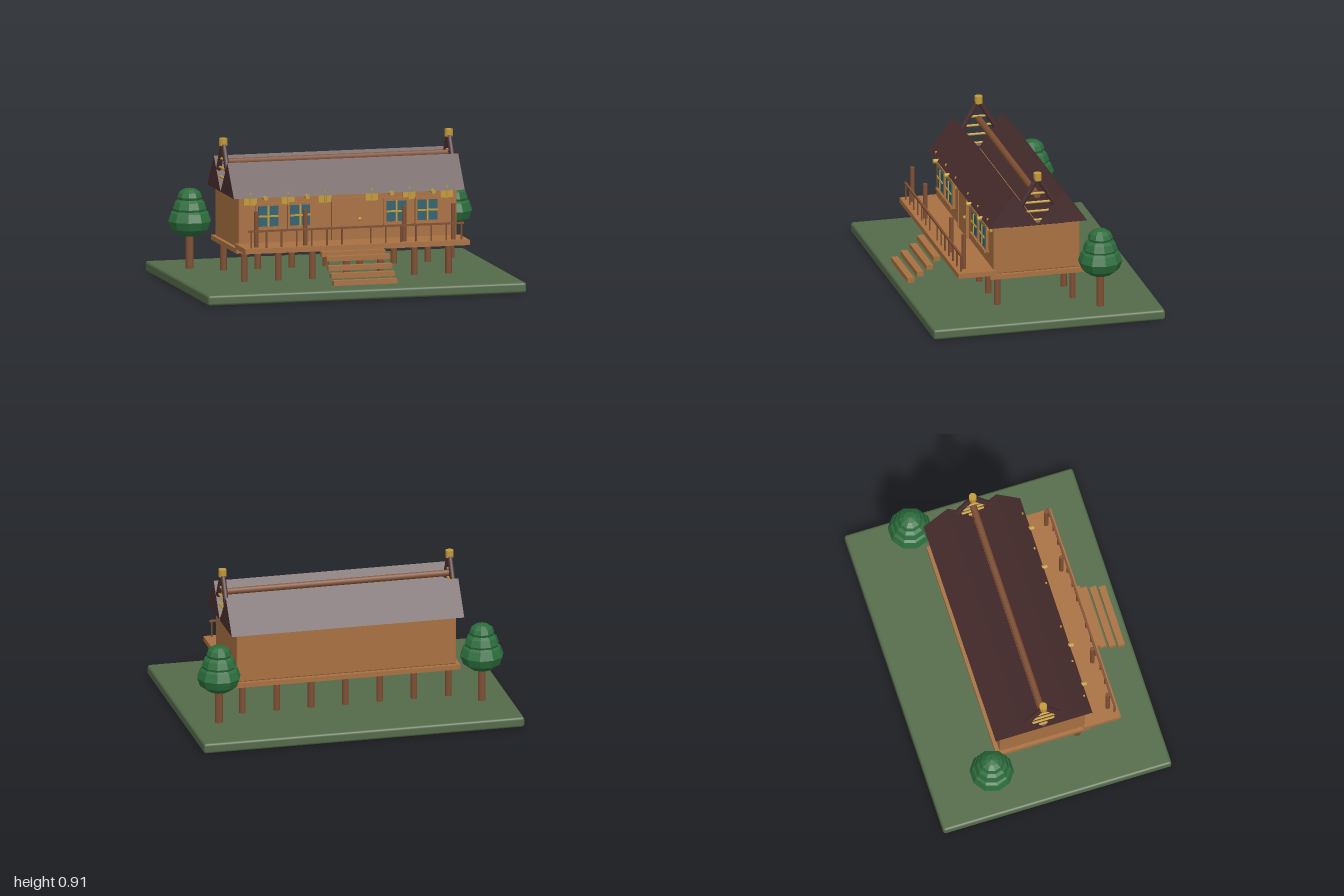
import * as THREE from 'three';
import { RoundedBoxGeometry } from 'three/addons/geometries/RoundedBoxGeometry.js';

const mat = (name, color, flatShading = false) => {
  const m = new THREE.MeshStandardMaterial({ color, flatShading });
  m.name = name;
  return m;
};

export function createModel() {
  const root = new THREE.Group();
  root.name = 'stiltHouse';
  const grass = mat('grass', 0x546a49);
  const wood = mat('wood', 0xa87041);
  const bark = mat('dark wood', 0x7f4f33);
  const roofing = mat('roof', 0x4a2e2f);
  const gold = mat('gold', 0xc29a38);
  const glass = mat('glass', 0x2f6070);
  const leaf = mat('leaves', 0x2c6c3c, true);

  const add = (name, geo, m, x = 0, y = 0, z = 0) => {
    const mesh = new THREE.Mesh(geo, m);
    mesh.name = name;
    mesh.position.set(x, y, z);
    root.add(mesh);
    return mesh;
  };
  // box given by its minimum and maximum in y and z, centred on x
  const slab = (name, m, x, w, y0, y1, z0, z1) =>
    add(name, new THREE.BoxGeometry(w, y1 - y0, z1 - z0), m, x, (y0 + y1) / 2, (z0 + z1) / 2);
  // upright round post
  const post = (name, m, r, x, y0, y1, z, sides = 10) =>
    add(name, new THREE.CylinderGeometry(r, r, y1 - y0, sides), m, x, (y0 + y1) / 2, z);
  // round bar between two points
  const bar = (name, m, r, a, b, sides = 8) => {
    const p = new THREE.Vector3(...a), q = new THREE.Vector3(...b);
    const mesh = add(name, new THREE.CylinderGeometry(r, r, p.distanceTo(q), sides), m);
    mesh.position.copy(p).lerp(q, 0.5);
    mesh.quaternion.setFromUnitVectors(new THREE.Vector3(0, 1, 0), q.sub(p).normalize());
    return mesh;
  };

  // Ground
  add('ground', new RoundedBoxGeometry(2, 0.064, 1.45, 3, 0.016), grass, 0, 0.032, 0);

  // Stilts, floor, porch and house body
  for (let i = -3; i <= 3; i++)
    for (const z of [0.236, -0.236]) post('stilt', bark, 0.02, i * 0.214, 0.05, 0.25, z);
  slab('floor', wood, 0, 1.41, 0.246, 0.275, -0.295, 0.295);
  slab('porch', wood, 0, 1.41, 0.272, 0.303, 0.26, 0.495);
  add('walls', new RoundedBoxGeometry(1.37, 0.312, 0.54, 2, 0.008), wood, 0, 0.43, 0);

  // Steps
  const steps = [[0.1, 0.659], [0.136, 0.601], [0.174, 0.542], [0.225, 0.498], [0.237, 0.384]];
  for (const [y, z] of steps)
    slab('step', wood, 0, 0.4, y - 0.015, y + 0.015, z - 0.021, z + 0.021);

  // Twin gabled roofs with a valley between them
  for (const s of [1, -1]) {
    const gable = new THREE.Shape([
      new THREE.Vector2(s * 0.307, 0.583),
      new THREE.Vector2(s * 0.155, 0.782),
      new THREE.Vector2(0, 0.583),
    ]);
    const geo = new THREE.ExtrudeGeometry(gable, { depth: 1.45, bevelEnabled: false });
    geo.translate(0, 0, -0.725).rotateY(-Math.PI / 2);
    add('roof', geo, roofing);
  }
  bar('ridgeBeam', bark, 0.021, [-0.7, 0.765, 0], [0.7, 0.765, 0]);

  // End trusses with rungs and caps
  for (const x of [-0.708, 0.708]) {
    for (const s of [1, -1])
      bar('trussLeg', roofing, 0.017, [x, 0.588, s * 0.173], [x, 0.887, 0]);
    bar('trussTie', roofing, 0.015, [x, 0.59, -0.178], [x, 0.59, 0.178]);
    for (const y of [0.61, 0.667, 0.724, 0.781]) {
      const h = (0.887 - y) * 0.577;
      bar('trussRung', gold, 0.008, [x, y, -h], [x, y, h]);
    }
    post('trussCap', gold, 0.025, x, 0.865, 0.911, 0);
  }

  // Door
  slab('door', wood, 0, 0.185, 0.303, 0.55, 0.265, 0.283);
  for (const s of [1, -1]) slab('doorJamb', wood, s * 0.098, 0.012, 0.303, 0.56, 0.265, 0.289);
  slab('doorLintel', wood, 0, 0.208, 0.55, 0.562, 0.265, 0.289);
  add('doorKnob', new THREE.SphereGeometry(0.011, 10, 8), gold, 0.07, 0.428, 0.29);

  // Windows
  for (const x of [-0.505, -0.305, 0.3, 0.495]) {
    slab('windowFrame', wood, x, 0.152, 0.383, 0.548, 0.265, 0.288);
    slab('windowGlass', glass, x, 0.125, 0.405, 0.53, 0.286, 0.292);
    slab('windowBarUpright', gold, x, 0.011, 0.405, 0.53, 0.29, 0.298);
    slab('windowBarLevel', gold, x, 0.125, 0.462, 0.473, 0.29, 0.298);
    slab('windowSill', wood, x, 0.158, 0.376, 0.39, 0.265, 0.3);
  }

  // Gold eave ornaments
  for (const x of [-0.615, -0.38, -0.147, 0.147, 0.382, 0.618]) {
    slab('eavePlate', gold, x, 0.08, 0.537, 0.583, 0.27, 0.286);
    post('eavePeg', gold, 0.007, x, 0.535, 0.613, 0.288, 8);
  }
  for (const x of [-0.53, -0.267, 0.262, 0.524])
    bar('eaveStud', gold, 0.014, [x, 0.582, 0.27], [x, 0.582, 0.33]);

  // Porch posts and railing
  for (const x of [-0.62, -0.312, 0.308, 0.616]) post('porchPost', bark, 0.014, x, 0.3, 0.523, 0.437);
  slab('rail', bark, 0, 1.35, 0.4, 0.412, 0.461, 0.474);
  for (let i = 0; i < 7; i++)
    for (const s of [1, -1])
      post('baluster', bark, 0.0055, s * (0.09 + i * 0.095), 0.3, 0.402, 0.467, 6);

  // Trees
  for (const x of [-0.82, 0.82]) {
    post('treeTrunk', bark, 0.024, x, 0.05, 0.32, -0.363);
    for (const [r, h, y] of [[0.135, 0.1, 0.357], [0.106, 0.08, 0.432], [0.077, 0.055, 0.503]])
      add('treeCrown', new THREE.SphereGeometry(r, 10, 6), leaf, x, y, -0.363).scale.y = h / r;
  }
  return root;
}
